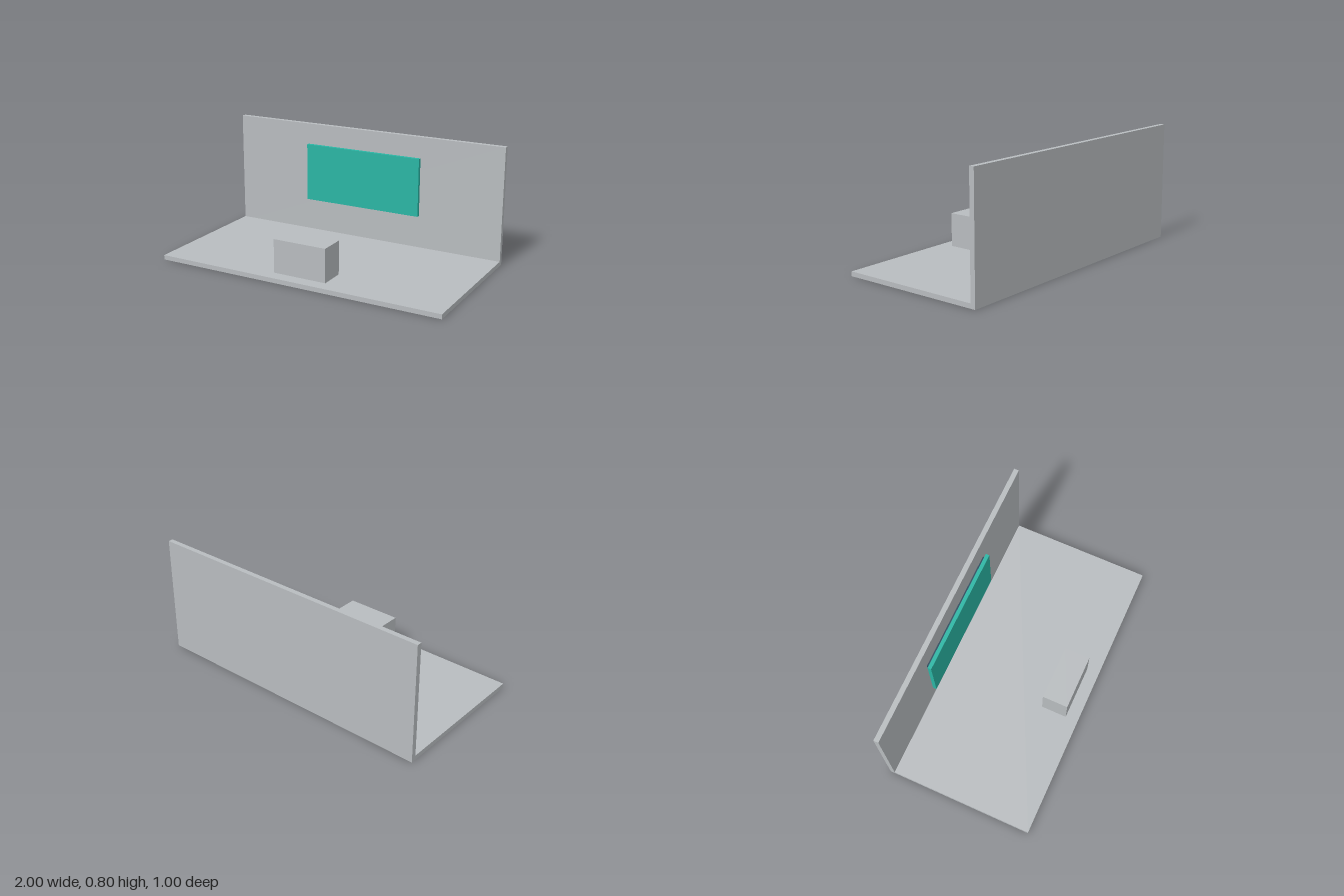
import * as THREE from 'three';

const mat = (name, color) => {
  const m = new THREE.MeshStandardMaterial({ color });
  m.name = name;
  return m;
};

export function createModel() {
  const group = new THREE.Group();
  group.name = 'stage';
  const grey = mat('light grey', 0xb8bcbf);
  const teal = mat('teal', 0x2ab5a4);
  const slate = mat('dark slate', 0x2d4a5e);

  // Box given by its limits along each axis, symmetric in x
  const box = (name, material, halfX, y0, y1, z0, z1) => {
    const mesh = new THREE.Mesh(new THREE.BoxGeometry(halfX * 2, y1 - y0, z1 - z0), material);
    mesh.position.set(0, (y0 + y1) / 2, (z0 + z1) / 2);
    mesh.name = name;
    group.add(mesh);
  };

  // Floor and back wall
  box('floor', grey, 1, 0, 0.031, -0.467, 0.5);
  box('backWall', grey, 1, 0, 0.801, -0.5, -0.467);

  // Counter near the front edge
  box('counter', grey, 0.186, 0.031, 0.257, 0.24, 0.414);

  // Screen with a smaller backing plate, held just clear of the wall
  box('screenBacking', slate, 0.411, 0.285, 0.642, -0.456, -0.442);
  box('screen', teal, 0.427, 0.264, 0.663, -0.442, -0.417);

  return group;
}
